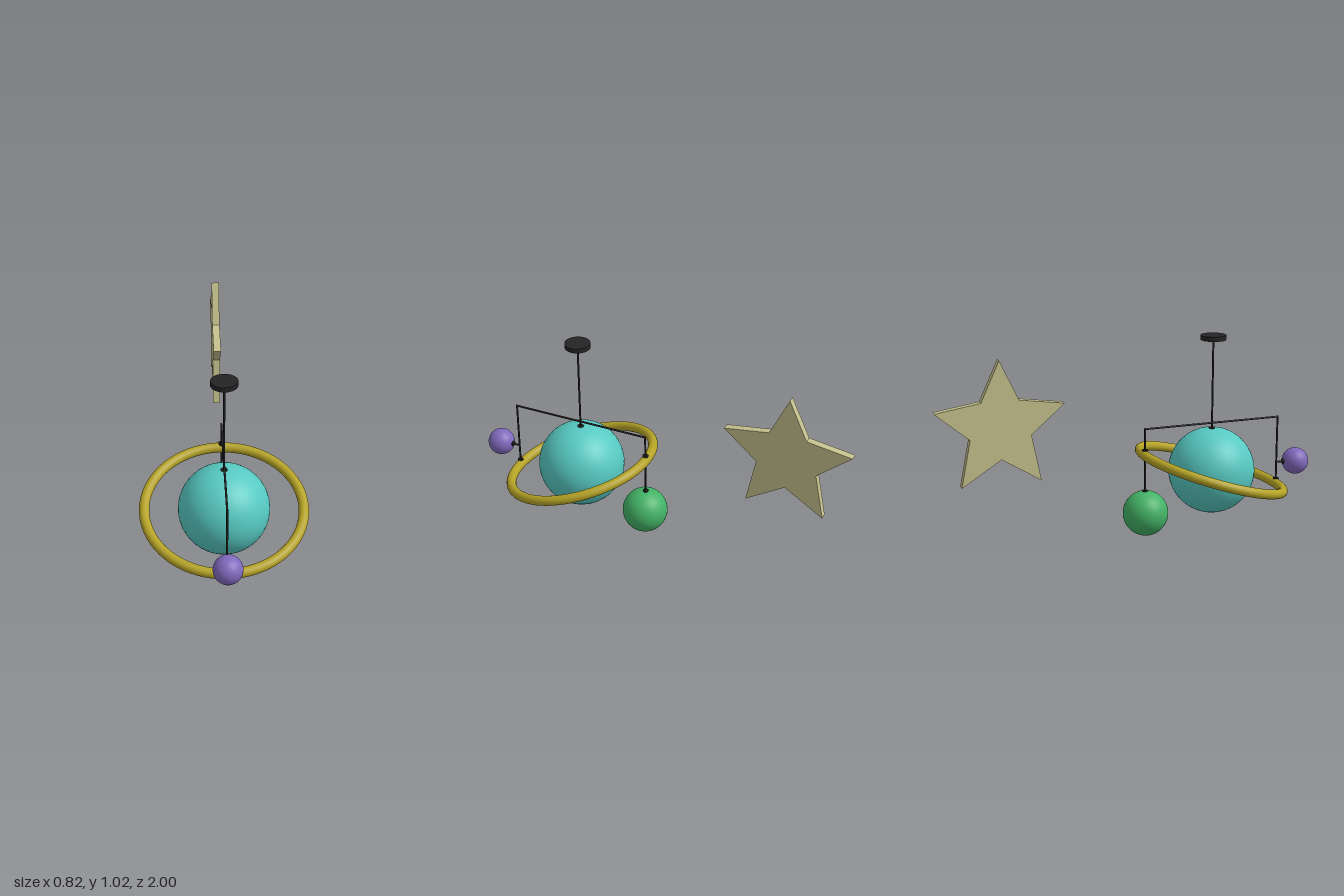
import * as THREE from 'three';

const mat = (name, color) => Object.assign(new THREE.MeshStandardMaterial({ color }), { name });

export function createModel() {
  const group = new THREE.Group();
  const teal = mat('teal', 0x57c9c2);
  const green = mat('green', 0x43b266);
  const purple = mat('purple', 0x8069bd);
  const gold = mat('gold', 0xb5a326);
  const cream = mat('cream', 0xc6c18d);
  const black = mat('black', 0x242424);

  const add = (name, geometry, material, x, y, z) => {
    const mesh = new THREE.Mesh(geometry, material);
    mesh.name = name;
    mesh.position.set(x, y, z);
    group.add(mesh);
    return mesh;
  };
  const ball = (name, r, material, y, z) =>
    add(name, new THREE.SphereGeometry(r, 40, 28), material, 0, y, z);

  // Straight rod between two points in the plane x = 0
  const rod = (name, y1, z1, y2, z2, r = 0.005) => {
    const a = new THREE.Vector3(0, y1, z1), b = new THREE.Vector3(0, y2, z2);
    const dir = b.clone().sub(a);
    const mesh = add(name, new THREE.CylinderGeometry(r, r, dir.length(), 12), black, 0, (y1 + y2) / 2, (z1 + z2) / 2);
    mesh.quaternion.setFromUnitVectors(new THREE.Vector3(0, 1, 0), dir.normalize());
  };

  // Spheres
  const cy = 0.315, cz = 0.447;
  ball('planet', 0.223, teal, cy, cz);
  ball('greenMoon', 0.117, green, 0.12, 0.083);
  ball('purpleMoon', 0.07, purple, cy, 0.93);

  // Tilted ring around the planet
  const ring = add('ring', new THREE.TorusGeometry(0.386, 0.025, 20, 72), gold, 0, cy, cz);
  ring.rotation.x = Math.PI / 2 + 0.295;

  // Ceiling plate and hanging rods
  const front = 0.82, back = 0.08, bar = 0.565;
  add('ceilingPlate', new THREE.CylinderGeometry(0.065, 0.065, 0.024, 24), black, 0, 1.012, cz);
  rod('mainRod', 1.0, cz, 0.53, cz);
  rod('crossBar', bar, front + 0.004, bar, back - 0.004);
  rod('frontRod', bar, front, 0.21, front);
  rod('backRod', bar, back, 0.23, back);
  rod('moonArm', cy + 0.003, front, cy + 0.003, 0.87);

  // Small collars where rods meet the bodies
  rod('planetCollar', 0.53, cz, 0.541, cz, 0.017);
  rod('ringFrontCollar', 0.213, front, 0.232, front, 0.015);
  rod('ringBackCollar', 0.438, back, 0.458, back, 0.015);
  rod('greenMoonCollar', 0.23, back, 0.243, back, 0.014);
  rod('purpleMoonCollar', cy + 0.003, 0.855, cy + 0.003, 0.868, 0.014);

  // Flat five-pointed star, facing sideways
  const shape = new THREE.Shape();
  for (let i = 0; i < 10; i++) {
    const inner = i % 2, r = inner ? 0.161 : 0.342, t = (i * Math.PI) / 5;
    const u = r * Math.sin(t), v = r * Math.cos(t) + (inner ? 0.01 : 0);
    if (i) shape.lineTo(u, v); else shape.moveTo(u, v);
  }
  const starGeometry = new THREE.ExtrudeGeometry(shape, { depth: 0.038, bevelEnabled: false });
  starGeometry.translate(0, 0, -0.019);
  const star = add('star', starGeometry, cream, -0.005, 0.637, -0.675);
  star.rotation.y = Math.PI / 2;

  return group;
}
